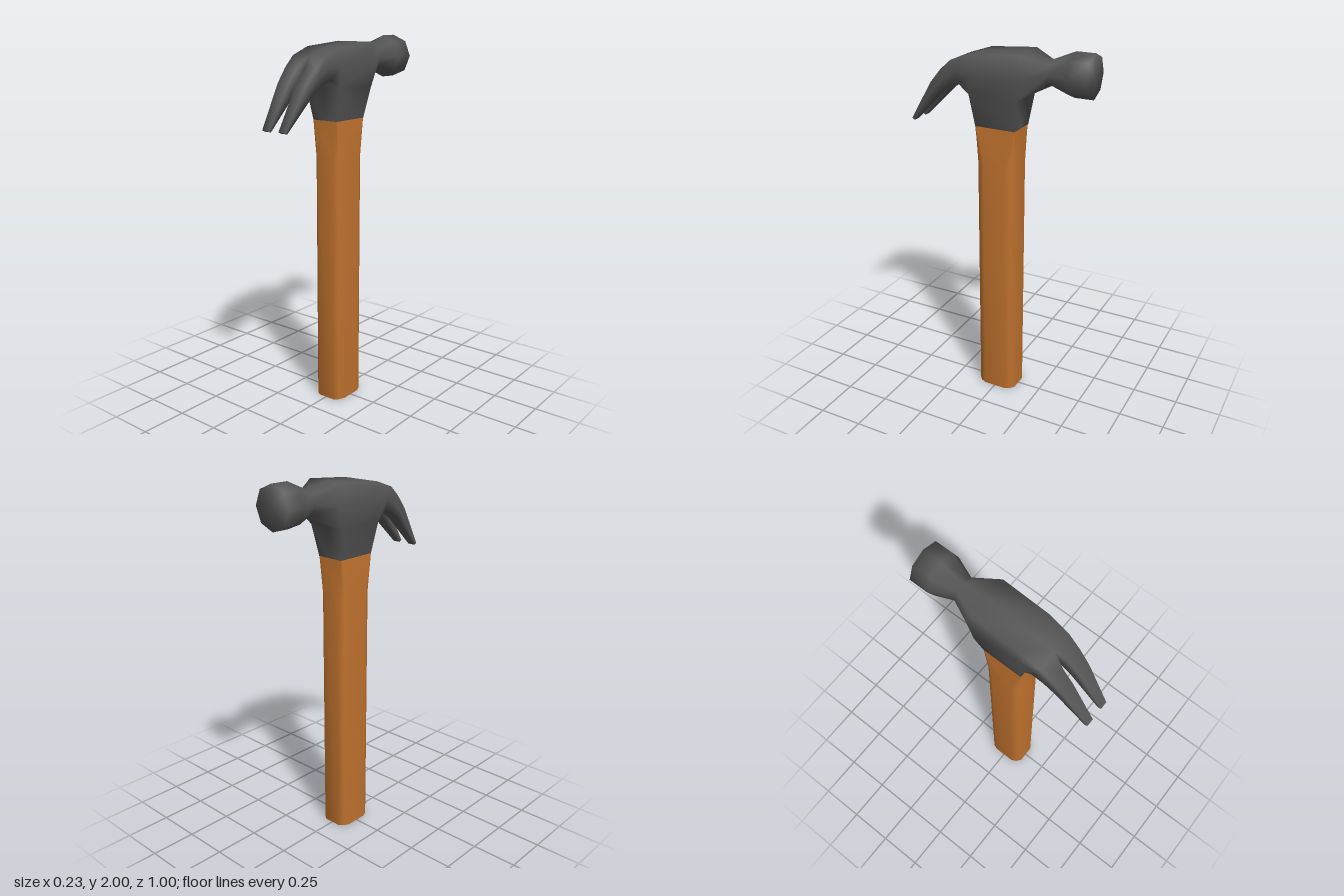
import * as THREE from 'three';
import { mergeGeometries, mergeVertices } from 'three/addons/utils/BufferGeometryUtils.js';

// Skin between rings of [x, y, z] points, ordered clockwise as seen from the last ring.
function loft(rings, { closed = true, startCap = false, endCap = false } = {}) {
  const n = rings[0].length;
  const pts = rings.flat();
  const index = [];
  const spans = closed ? n : n - 1;
  for (let i = 0; i < rings.length - 1; i++) {
    for (let j = 0; j < spans; j++) {
      const k = (j + 1) % n;
      const a = i * n + j, b = i * n + k, c = a + n + k - j, d = a + n;
      index.push(a, c, b, a, d, c);
    }
  }
  const cap = (r, flip) => {
    const mid = [0, 1, 2].map((q) => rings[r].reduce((s, p) => s + p[q], 0) / n);
    const centre = pts.push(mid) - 1;
    for (let j = 0; j < n; j++) {
      const a = r * n + j, b = r * n + ((j + 1) % n);
      index.push(centre, ...(flip ? [b, a] : [a, b]));
    }
  };
  if (startCap) cap(0, false);
  if (endCap) cap(rings.length - 1, true);
  const g = new THREE.BufferGeometry();
  g.setAttribute('position', new THREE.Float32BufferAttribute(pts.flat(), 3));
  g.setIndex(index);
  return g;
}

// Weld shared points so that shading runs smoothly across the joins.
function weld(parts) {
  const g = mergeVertices(mergeGeometries(parts), 1e-4);
  g.computeVertexNormals();
  return g;
}

// Eight-sided round section of the striking end.
const octagon = (z, y, r) => Array.from({ length: 8 }, (_, i) => {
  const a = (i * Math.PI) / 4;
  return [r * Math.sin(a), y + r * Math.cos(a), z];
});

// Boxy section with the same eight points; s = [top z, top y, bottom z, bottom y, half width].
function boxRing([tz, ty, bz, by, w], midZ = (tz + bz) / 2) {
  const my = (ty + by) / 2;
  return [
    [0, ty, tz], [w, ty, tz], [w, my, midZ], [w, by, bz],
    [0, by, bz], [-w, by, bz], [-w, my, midZ], [-w, ty, tz],
  ];
}

// Section of one claw prong; side is 1 or -1.
function prongRing([tz, ty, bz, by, out, inner], side) {
  const mz = (tz + bz) / 2, my = (ty + by) / 2;
  const ring = [
    [inner, ty, tz], [out, ty, tz], [out, my, mz],
    [out, by, bz], [inner, by, bz], [inner, my, mz],
  ].map(([x, y, z]) => [x * side, y, z]);
  return side > 0 ? ring : ring.reverse();
}

function headGeometry() {
  const back = boxRing([-0.14, 1.975, -0.135, 1.745, 0.113], -0.17);
  const front = boxRing([0.115, 1.955, 0.13, 1.755, 0.113]);
  const split = [0.235, 1.915, 0.19, 1.797, 0.106, 0];

  // striking end, neck and back of the block
  const poll = loft([
    octagon(-0.5, 1.888, 0.113), octagon(-0.4, 1.888, 0.113),
    octagon(-0.28, 1.885, 0.065), back,
  ], { startCap: true });

  // block, open below where the socket joins
  const overTop = (r) => [5, 6, 7, 0, 1, 2, 3].map((i) => r[i]);
  const block = loft([overTop(back), overTop(front)], { closed: false });

  // socket tapering to the handle
  const lower = [
    [0, 1.58, -0.115], [0.078, 1.58, -0.115], [0.078, 1.58, 0.113],
    [0, 1.58, 0.113], [-0.078, 1.58, 0.113], [-0.078, 1.58, -0.115],
  ];
  const upper = [back[4], back[3], front[3], front[4], front[5], back[5]];
  const socket = loft([lower, upper]);

  // root of the claw and its two prongs
  const root = loft([front, boxRing(split)]);
  const sections = [
    split,
    [0.3, 1.86, 0.255, 1.773, 0.1, 0.021],
    [0.365, 1.785, 0.32, 1.728, 0.094, 0.025],
    [0.503, 1.568, 0.487, 1.56, 0.075, 0.032],
  ];
  const prongs = [1, -1].map((side) =>
    loft(sections.map((s) => prongRing(s, side)), { endCap: true }));

  return weld([poll, block, socket, root, ...prongs]);
}

// Rounded shaft whose corners square off at the top.
function handleGeometry() {
  const corner = [[0.05, 0.113], [0.076, 0.092], [0.09, 0.062]];
  const ring = (y, c) => {
    const rev = [...c].reverse();
    return [
      ...c.map(([x, z]) => [x, y, -z]), ...rev.map(([x, z]) => [x, y, z]),
      ...c.map(([x, z]) => [-x, y, z]), ...rev.map(([x, z]) => [-x, y, -z]),
    ];
  };
  const square = [[0.074, 0.113], [0.078, 0.113], [0.078, 0.109]];
  return weld([loft([ring(0, corner), ring(1.38, corner), ring(1.58, square)], { startCap: true })]);
}

export function createModel() {
  const steel = new THREE.MeshStandardMaterial({ color: 0x545454 });
  steel.name = 'darkSteel';
  const wood = new THREE.MeshStandardMaterial({ color: 0xc0722e });
  wood.name = 'wood';

  const group = new THREE.Group();
  group.name = 'clawHammer';
  const add = (name, geometry, material) => {
    const mesh = new THREE.Mesh(geometry, material);
    mesh.name = name;
    group.add(mesh);
  };
  add('head', headGeometry(), steel);
  add('handle', handleGeometry(), wood);
  return group;
}
